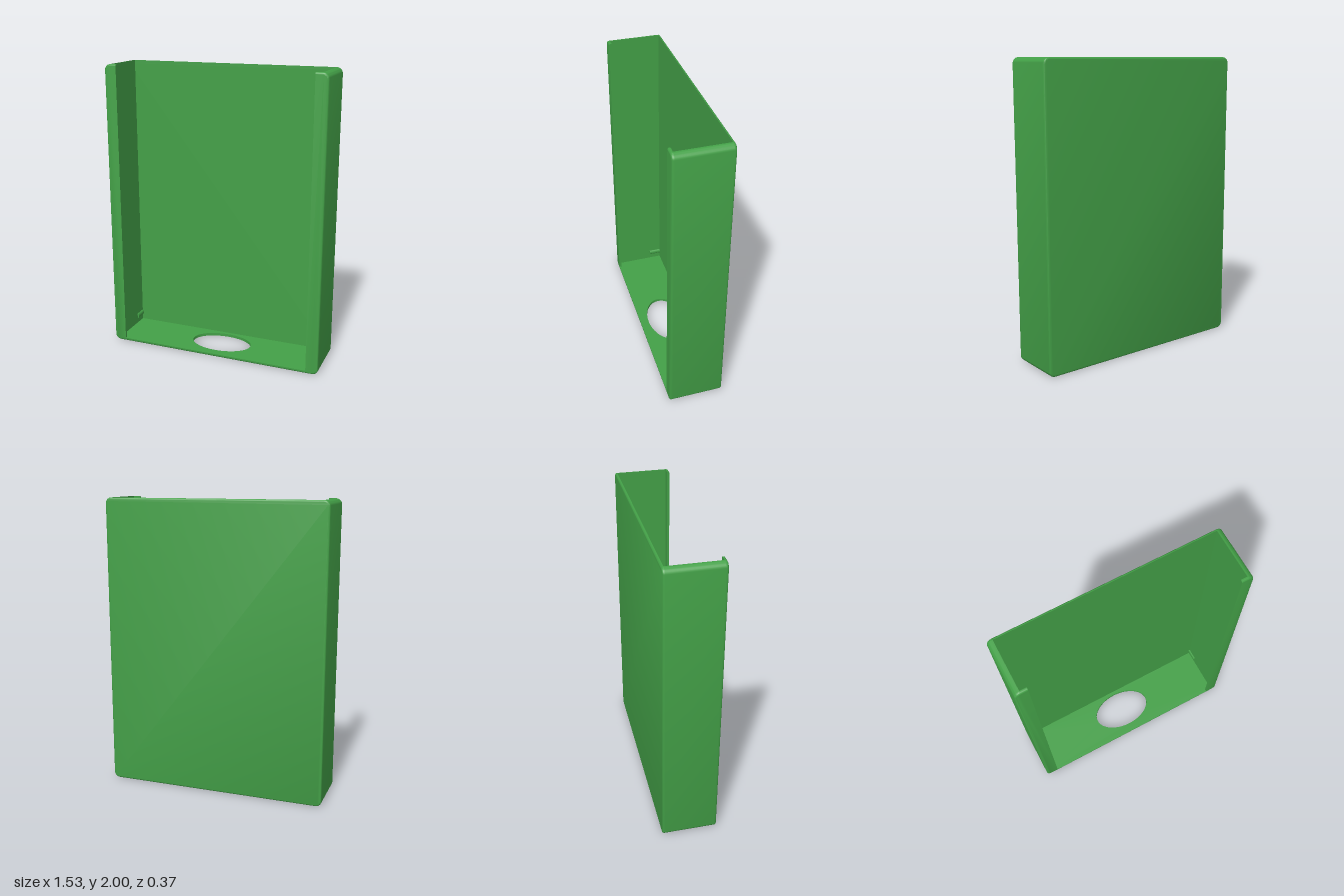
import * as THREE from 'three';
import { toCreasedNormals } from 'three/addons/utils/BufferGeometryUtils.js';

const W = 0.765, H = 2, D = 0.186;            // half width, height, half depth
const R = 0.04, E = 0.012;                    // corner radius, edge rounding
const IN_X = 0.725, BACK = -0.172, LIP = 0.168, LIP_X = 0.68, FLOOR = 0.02;

// Rounded rectangle, counter-clockwise from the top left corner, shrunk by inset
function roundedOutline(inset) {
  const pts = [], n = 8;
  const centres = [[-W + R, H - R], [-W + R, R], [W - R, R], [W - R, H - R]];
  centres.forEach(([cx, cy], k) => {
    for (let i = 0; i <= n; i++) {
      const a = (Math.PI / 2) * (k + 1 + i / n);
      pts.push(new THREE.Vector2(cx + (R - inset) * Math.cos(a), cy + (R - inset) * Math.sin(a)));
    }
  });
  return pts;
}

// Same outer edge with the open window cut out down from the top
function lipOutline(inset) {
  return [
    new THREE.Vector2(-LIP_X, H - inset), ...roundedOutline(inset),
    new THREE.Vector2(LIP_X, H - inset),
    new THREE.Vector2(LIP_X, FLOOR), new THREE.Vector2(-LIP_X, FLOOR),
  ];
}

// Capped loft through outlines at [z, inset] levels, z increasing
function loft(outline, levels) {
  const rings = levels.map(([, inset]) => outline(inset));
  const n = rings[0].length, pos = [], index = [];
  rings.forEach((ring, l) => ring.forEach(p => pos.push(p.x, p.y, levels[l][0])));
  for (let l = 0; l < rings.length - 1; l++) {
    for (let i = 0; i < n; i++) {
      const a = l * n + i, b = l * n + (i + 1) % n;
      index.push(a, b, b + n, a, b + n, a + n);
    }
  }
  const last = (rings.length - 1) * n;
  for (const [a, b, c] of THREE.ShapeUtils.triangulateShape(rings[0], [])) index.push(a, c, b);
  for (const [a, b, c] of THREE.ShapeUtils.triangulateShape(rings[rings.length - 1], [])) {
    index.push(last + a, last + b, last + c);
  }
  const g = new THREE.BufferGeometry();
  g.setAttribute('position', new THREE.Float32BufferAttribute(pos, 3));
  g.setIndex(index);
  return toCreasedNormals(g, 0.6);
}

// Quarter-round levels from the flat face (t = 0) to the full outline
function roundLevels() {
  const out = [];
  for (let i = 0; i <= 4; i++) {
    const a = (Math.PI / 2) * (i / 4);
    out.push([D - E + E * Math.cos(a), E * (1 - Math.sin(a))]);
  }
  return out;
}

export function createModel() {
  const group = new THREE.Group();
  const green = new THREE.MeshStandardMaterial({ color: 0x43a047 });
  green.name = 'green plastic';
  const add = (name, geometry) => {
    const mesh = new THREE.Mesh(geometry, green);
    mesh.name = name;
    group.add(mesh);
    return mesh;
  };

  // Back panel and front lips with rounded outer edges
  const round = roundLevels();
  add('backPanel', loft(roundedOutline, [...round.map(([z, i]) => [-z, i]), [BACK, 0]]));
  add('frontLips', loft(lipOutline, [[LIP, 0], ...round.slice().reverse()]));

  // Floor with an oval opening
  const floor = new THREE.Shape([
    new THREE.Vector2(-IN_X, BACK), new THREE.Vector2(IN_X, BACK),
    new THREE.Vector2(IN_X, LIP), new THREE.Vector2(-IN_X, LIP),
  ]);
  floor.holes.push(new THREE.Path().absellipse(0, -0.011, 0.217, 0.136, 0, Math.PI * 2, true));
  const floorGeo = new THREE.ExtrudeGeometry(floor, { depth: FLOOR, bevelEnabled: false, curveSegments: 48 });
  floorGeo.rotateX(Math.PI / 2).translate(0, FLOOR, 0);
  add('floor', toCreasedNormals(floorGeo, 0.6));

  for (const s of [-1, 1]) {
    const side = s > 0 ? 'left' : 'right';

    // Side wall with rounded outer corners
    const wall = new THREE.Shape([
      new THREE.Vector2(s * IN_X, 0), new THREE.Vector2(s * IN_X, H),
      ...roundedOutline(0).filter(p => p.x * s > IN_X + 1e-4)
        .sort((a, b) => b.y - a.y),
    ]);
    const wallGeo = new THREE.ExtrudeGeometry(wall, { depth: LIP - BACK, bevelEnabled: false });
    wallGeo.translate(0, 0, BACK);
    add(side + 'Wall', toCreasedNormals(wallGeo, 0.6));

    // Small retaining rib low on the inner wall
    const ribGeo = new THREE.CylinderGeometry(0.015, 0.015, 0.085, 16);
    ribGeo.rotateX(Math.PI / 2).scale(0.75, 1.2, 1);
    add(side + 'Rib', ribGeo).position.set(s * IN_X, 0.075, BACK + 0.0425);
  }
  return group;
}
